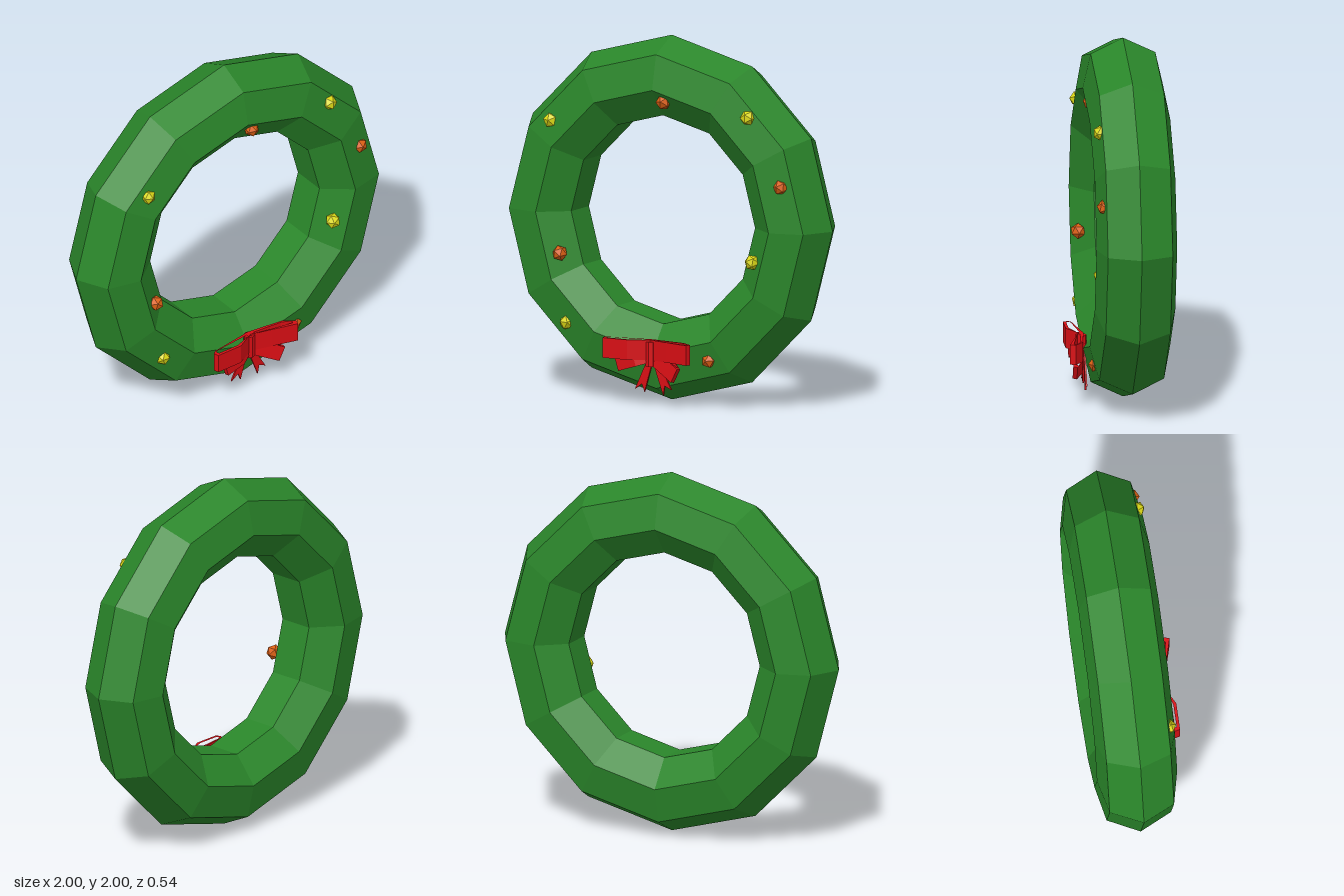
import * as THREE from 'three';

const mat = (color) => new THREE.MeshStandardMaterial({ color, flatShading: true });

function add(parent, name, geometry, material, x = 0, y = 0, z = 0) {
  const m = new THREE.Mesh(geometry, material);
  m.name = name;
  m.position.set(x, y, z);
  parent.add(m);
  return m;
}

// Hollow ribbon loop: outline in x/z, extruded along y and centred on y = 0
function loopGeometry(points, height) {
  const pts = points.map(([x, z]) => new THREE.Vector2(x, z));
  const c = pts.reduce((s, p) => s.add(p), new THREE.Vector2()).divideScalar(pts.length);
  const shape = new THREE.Shape(pts);
  const inner = pts.map((p) => p.clone().sub(c).multiply(new THREE.Vector2(0.84, 0.55)).add(c));
  shape.holes.push(new THREE.Path(inner));
  const g = new THREE.ExtrudeGeometry(shape, { depth: height, bevelEnabled: false });
  return g.rotateX(Math.PI / 2).translate(0, height / 2, 0);
}

// Ribbon end hanging down from y = 0, with a notched tip
function tailGeometry(length) {
  const shape = new THREE.Shape([
    [-0.014, 0], [-0.03, -length], [0, -length + 0.045], [0.03, -length + 0.01], [0.014, 0],
  ].map(([x, y]) => new THREE.Vector2(x, y)));
  return new THREE.ExtrudeGeometry(shape, { depth: 0.01, bevelEnabled: false });
}

export function createModel() {
  const group = new THREE.Group();
  group.name = 'wreath';
  const green = mat(0x2a862a);
  const red = mat(0xd80e14);
  const yellow = mat(0xdcd816);
  const orange = mat(0xdc6014);

  // Ring: seven-sided section, twelve segments
  add(group, 'ring', new THREE.TorusGeometry(0.775, 0.225, 7, 12), green, 0, 1, -0.05);

  // Berries
  const berry = new THREE.IcosahedronGeometry(0.043, 0);
  const berries = [
    [0.575, 1.615, yellow], [-0.65, 1.505, yellow], [0.6, 0.825, yellow], [-0.55, 0.405, yellow],
    [0.05, 1.66, orange], [0.78, 1.25, orange], [-0.595, 0.78, orange], [0.335, 0.265, orange],
  ];
  berries.forEach(([x, y, m], i) => {
    add(group, 'berry', berry, m, x, y, 0.132).rotation.set(0.3 * i, 0.5 * i, 0.7 * i);
  });

  // Bow
  const bow = new THREE.Group();
  bow.name = 'bow';
  group.add(bow);
  const left = [[0, 0.165], [-0.25, 0.205], [-0.27, 0.22], [-0.262, 0.25], [-0.11, 0.25], [0, 0.19]];
  const right = [[0, 0.165], [0.21, 0.19], [0.275, 0.235], [0.265, 0.266], [0.12, 0.225], [0, 0.19]];
  const small = (p) => p.map(([x, z]) => [x * 0.75, 0.165 + (z - 0.165) * 0.75]);
  add(bow, 'upperLeftLoop', loopGeometry(left, 0.11), red, 0, 0.305, 0);
  add(bow, 'upperRightLoop', loopGeometry(right, 0.11), red, 0, 0.305, 0);
  add(bow, 'lowerLeftLoop', loopGeometry(small(left), 0.075), red, 0, 0.275, 0).rotation.z = 0.3;
  add(bow, 'lowerRightLoop', loopGeometry(small(right), 0.085), red, 0, 0.275, 0).rotation.z = -0.48;

  // Tails
  add(bow, 'leftTail', tailGeometry(0.215), red, -0.005, 0.27, 0.156).rotation.z = -0.36;
  add(bow, 'rightTail', tailGeometry(0.22), red, 0.005, 0.27, 0.156).rotation.z = 0.42;

  // Knot
  const knot = new THREE.CylinderGeometry(0.033, 0.033, 0.135, 8).scale(1, 1, 0.9);
  add(bow, 'knot', knot, red, 0, 0.282, 0.178);

  return group;
}
